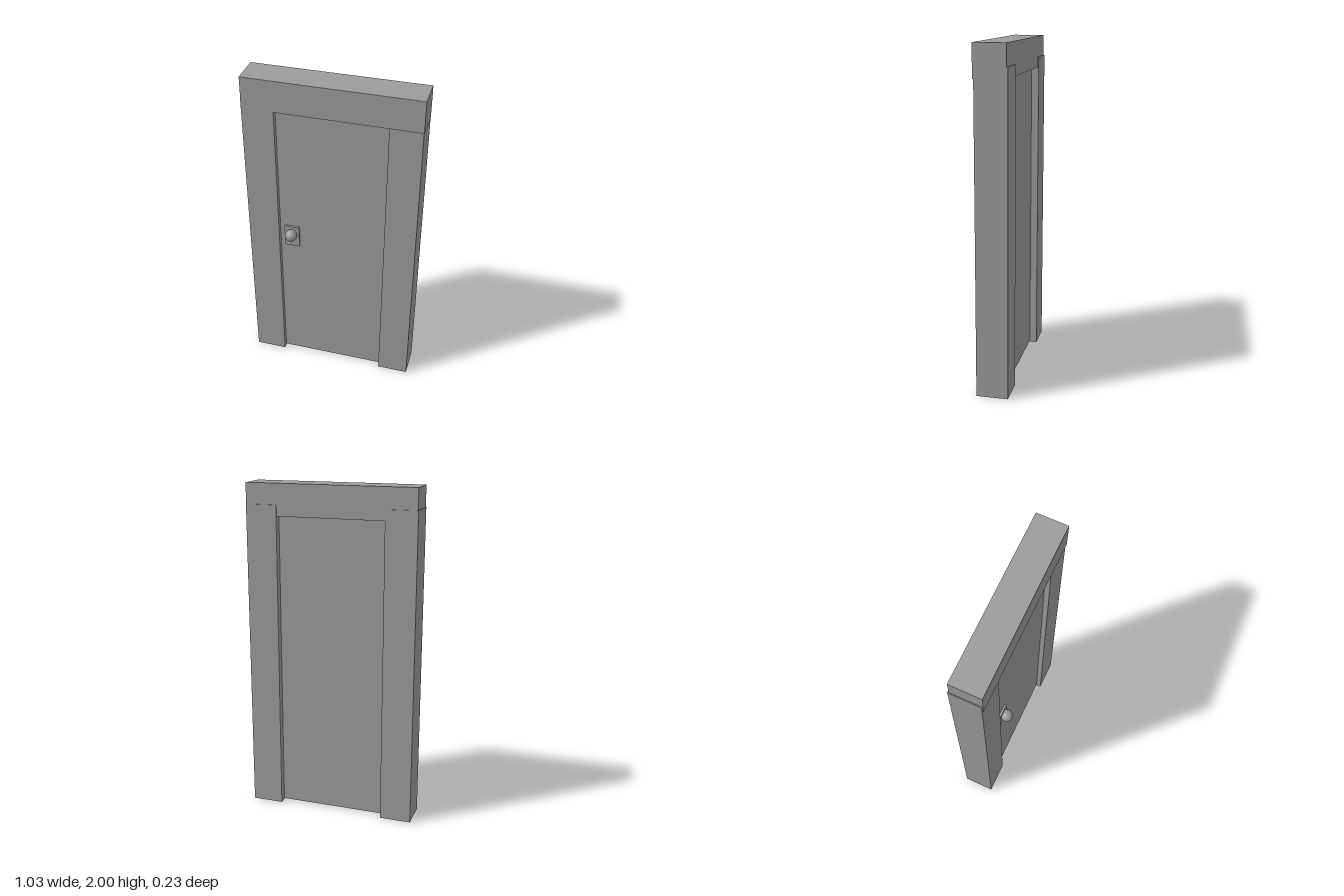
import * as THREE from 'three';

const material = new THREE.MeshStandardMaterial({ color: 0x9b9b9b });

// Box given by its minimum and maximum on each axis
function block(name, [x0, x1], [y0, y1], [z0, z1]) {
  const mesh = new THREE.Mesh(new THREE.BoxGeometry(x1 - x0, y1 - y0, z1 - z0), material);
  mesh.position.set((x0 + x1) / 2, (y0 + y1) / 2, (z0 + z1) / 2);
  mesh.name = name;
  return mesh;
}

export function createModel() {
  const model = new THREE.Group();
  model.name = 'door';

  // Frame: two posts set slightly back from the lintel that caps them
  const postDepth = [-0.114, 0.072];
  model.add(
    block('rightPost', [-0.513, -0.325], [0, 1.877], postDepth),
    block('leftPost', [0.324, 0.511], [0, 1.877], postDepth),
    block('lintel', [-0.509, 0.513], [1.812, 2], [-0.107, 0.078])
  );

  // Door leaf, recessed on both faces and just clear of the floor
  model.add(block('doorLeaf', [-0.327, 0.326], [0.007, 1.82], [-0.07, 0.041]));

  // Lock plate and round knob
  model.add(block('lockPlate', [-0.296, -0.204], [0.887, 1.027], [0.03, 0.054]));
  const knob = new THREE.Mesh(new THREE.SphereGeometry(0.037, 32, 20), material);
  knob.position.set(-0.249, 0.979, 0.076);
  knob.name = 'knob';
  model.add(knob);

  return model;
}
